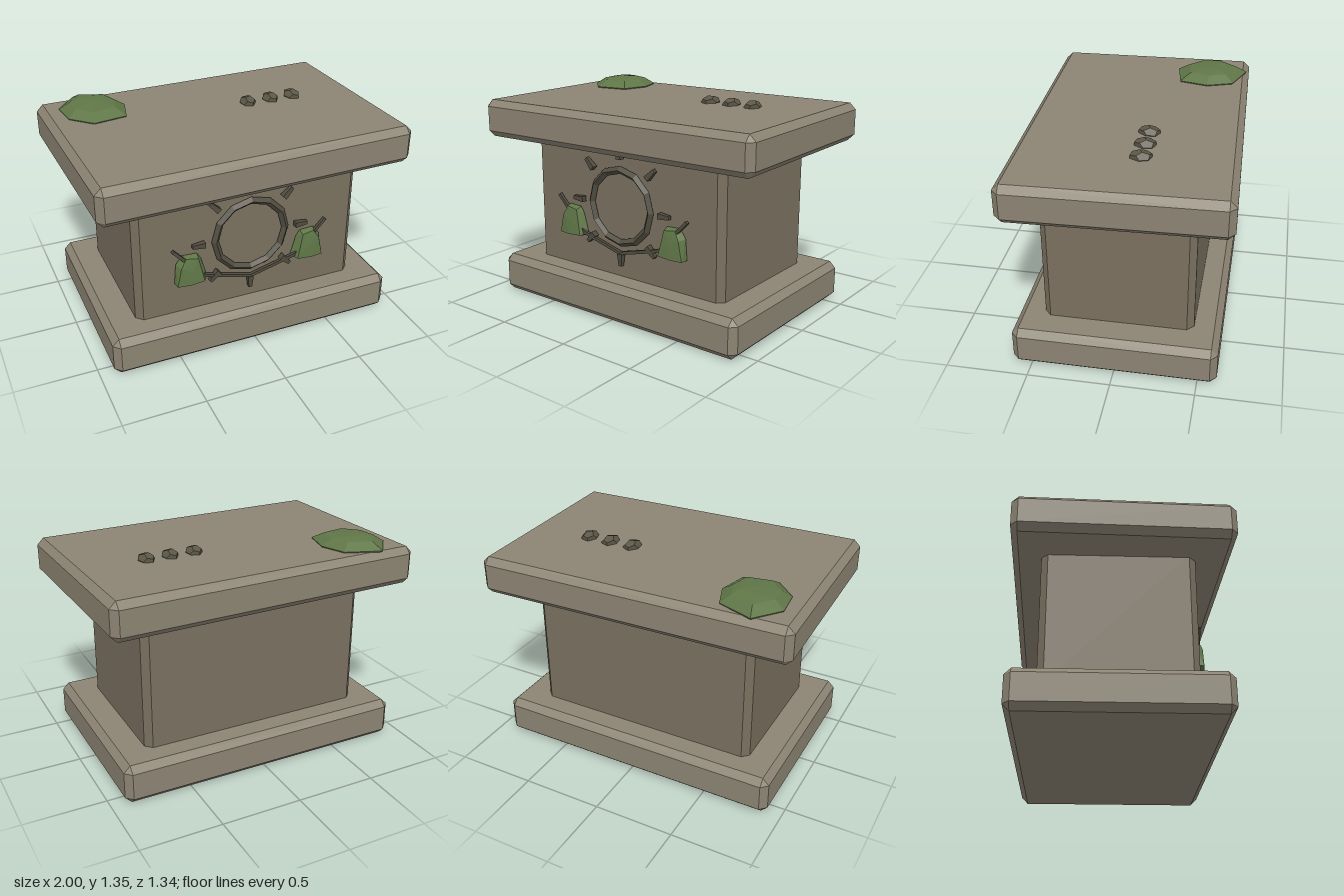
import * as THREE from 'three';
import { ConvexGeometry } from 'three/addons/geometries/ConvexGeometry.js';

const mat = (color) => new THREE.MeshStandardMaterial({ color, flatShading: true });
const stone = mat(0x8c8473), darkStone = mat(0x7a705f), carving = mat(0x514d41);
const pebbleStone = mat(0x5c5747), moss = mat(0x5f7647);

const V = (x, y, z) => new THREE.Vector3(x, y, z);

function add(parent, name, geometry, material, x = 0, y = 0, z = 0) {
  const mesh = new THREE.Mesh(geometry, material);
  mesh.name = name;
  mesh.position.set(x, y, z);
  parent.add(mesh);
  return mesh;
}

// Box with every edge chamfered by c, as the hull of its inset faces
function chamferBox(w, h, d, c) {
  const pts = [];
  for (const sx of [-1, 1]) for (const sy of [-1, 1]) for (const sz of [-1, 1]) {
    const x = w / 2, y = h / 2, z = d / 2;
    pts.push(V(sx * x, sy * (y - c), sz * (z - c)));
    pts.push(V(sx * (x - c), sy * y, sz * (z - c)));
    pts.push(V(sx * (x - c), sy * (y - c), sz * z));
  }
  return new ConvexGeometry(pts);
}

// Square bar between two points, tapering from r0 to r1
function bar(parent, name, a, b, r0, r1) {
  const dir = b.clone().sub(a);
  const geo = new THREE.CylinderGeometry(r1, r0, dir.length(), 4);
  geo.rotateY(Math.PI / 4);
  const mid = a.clone().add(b).multiplyScalar(0.5);
  const mesh = add(parent, name, geo, carving, mid.x, mid.y, mid.z);
  mesh.quaternion.setFromUnitVectors(V(0, 1, 0), dir.normalize());
}

export function createModel() {
  const model = new THREE.Group();
  model.name = 'stoneAltar';

  // Stacked blocks; the table slab sits slightly askew
  add(model, 'base', chamferBox(1.83, 0.245, 1.23, 0.04), stone, 0, 0.1225, 0);
  add(model, 'body', chamferBox(1.446, 0.92, 0.908, 0.04), darkStone, 0, 0.645, 0);
  const slab = add(model, 'tableSlab', chamferBox(1.965, 0.235, 1.29, 0.04), stone, 0, 1.1625, 0);
  slab.rotation.y = 0.027;

  // Sun emblem on the front
  const emblem = new THREE.Group();
  emblem.name = 'sunEmblem';
  emblem.position.set(0, 0.7, 0.478);
  model.add(emblem);
  add(emblem, 'sunRing', new THREE.TorusGeometry(0.229, 0.024, 4, 12), carving);
  for (let i = 0; i < 8; i++) {
    const a = i * Math.PI / 4;
    const at = (r) => V(Math.cos(a) * r, Math.sin(a) * r, 0.004);
    bar(emblem, 'sunRay', at(0.295), at(0.375), 0.025, 0.016);
  }

  // Bent horn-shaped strip beneath the sun
  const horn = [[-0.5, 0.7], [-0.3, 0.487], [0, 0.408], [0.3, 0.487], [0.5, 0.7]];
  for (let i = 0; i < 4; i++) {
    const [a, b] = [horn[i], horn[i + 1]];
    bar(model, 'hornStrip', V(a[0], a[1], 0.485), V(b[0], b[1], 0.485), 0.014, 0.014);
  }

  // Mirrored moss clumps on the front: back outline and raised front outline
  const back = [[0.485, 0.46], [0.475, 0.59], [0.435, 0.645], [0.34, 0.64], [0.315, 0.6], [0.28, 0.475], [0.295, 0.46]];
  const front = [[0.48, 0.46, 0.51], [0.455, 0.58, 0.508], [0.42, 0.635, 0.496], [0.345, 0.625, 0.502],
    [0.385, 0.55, 0.514], [0.31, 0.465, 0.515], [0.4, 0.46, 0.52]];
  for (const s of [-1, 1]) {
    const pts = [...back.map(([x, y]) => V(s * x, y, 0.462)), ...front.map(([x, y, z]) => V(s * x, y, z))];
    add(model, 'frontMoss', new ConvexGeometry(pts), moss);
  }

  // Low moss mound on the table
  const rim = [[-0.76, -0.61], [-0.545, -0.53], [-0.487, -0.37], [-0.53, -0.19], [-0.74, -0.155], [-0.866, -0.28], [-0.885, -0.45]];
  const mound = [V(-0.68, 1.345, -0.37), V(-0.62, 1.343, -0.43), V(-0.75, 1.341, -0.44)];
  rim.forEach(([x, z]) => {
    mound.push(V(x, 1.287, z), V(x * 0.98 - 0.014, 1.278, z * 0.98 - 0.008));
    mound.push(V(-0.69 + (x + 0.69) * 0.68, 1.328, -0.38 + (z + 0.38) * 0.68));
  });
  add(model, 'topMoss', new ConvexGeometry(mound), moss);

  // Row of three pebbles
  [0.24, 0.395, 0.545].forEach((x, i) => {
    const geo = new THREE.DodecahedronGeometry(1);
    geo.rotateY(0.3);
    geo.scale(0.051, 0.038, 0.07);
    add(model, 'pebble', geo, pebbleStone, x, 1.286, -0.108).rotation.y = 0.1 * (i - 1);
  });

  return model;
}
